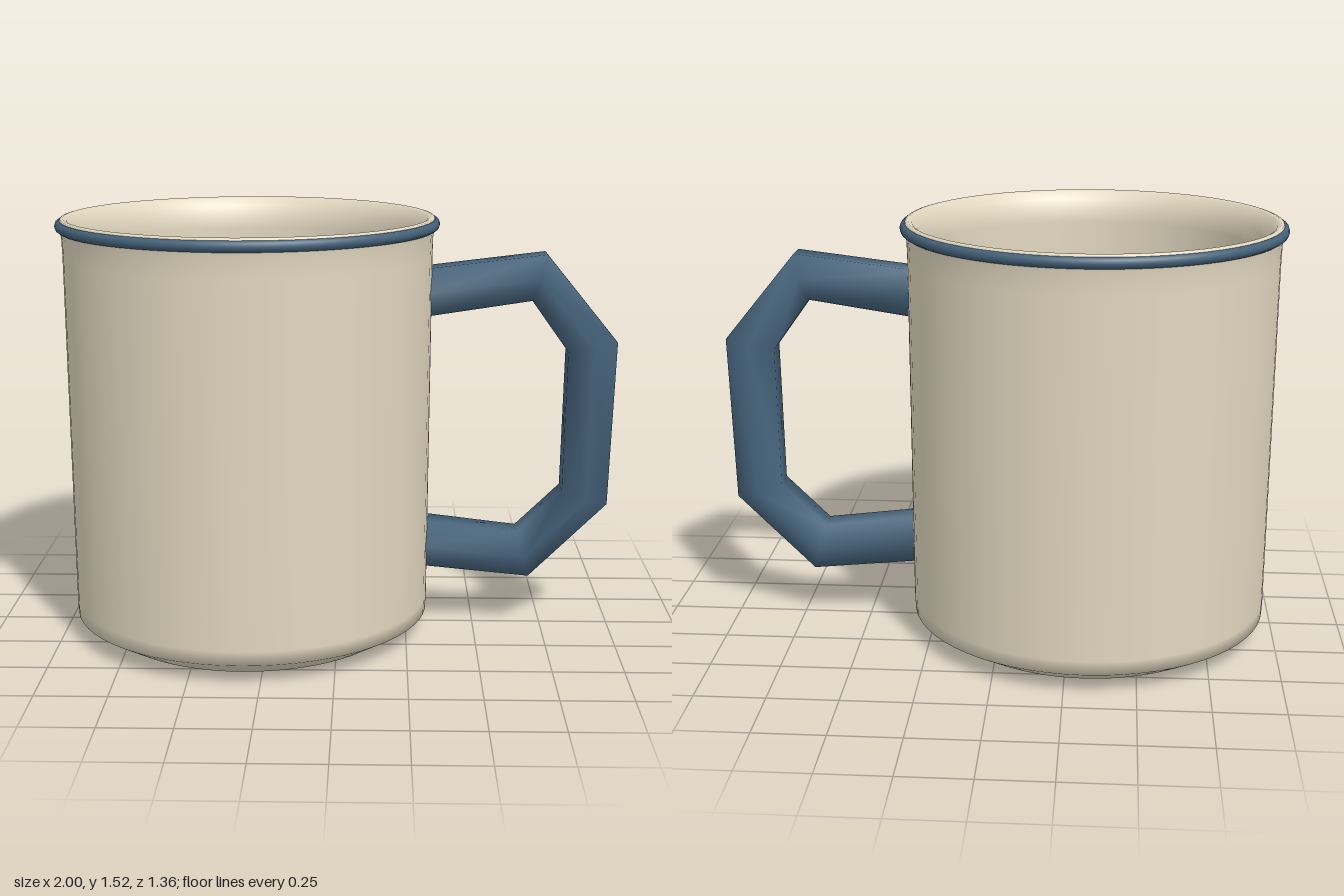
import * as THREE from 'three';

const AXIS_X = -0.32; // centre line of the cup

export function createModel() {
  const cream = new THREE.MeshStandardMaterial({ color: 0xe2d8c0 });
  cream.name = 'cream enamel';
  const blue = new THREE.MeshStandardMaterial({ color: 0x45627a });
  blue.name = 'blue enamel';

  const mug = new THREE.Group();
  mug.name = 'mug';
  const add = (name, geometry, material) => {
    const mesh = new THREE.Mesh(geometry, material);
    mesh.name = name;
    mug.add(mesh);
    return mesh;
  };

  // Cup: outer wall with chamfered foot, rolled lip, inner wall and floor
  const profile = [
    [0, 0], [0.5, 0], [0.53, 0.003], [0.645, 0.07], [0.647, 0.12],
    [0.655, 1.38], [0.657, 1.45], [0.664, 1.475], [0.666, 1.5],
    [0.66, 1.514], [0.65, 1.517], [0.637, 1.51], [0.618, 1.485],
    [0.602, 1.45], [0.595, 1.4], [0.595, 0.12], [0.59, 0.07], [0, 0.06],
  ].map(([r, y]) => new THREE.Vector2(r, y));
  add('cup', new THREE.LatheGeometry(profile, 64), cream).position.x = AXIS_X;

  // Coloured band around the lip
  const rim = add('rim', new THREE.TorusGeometry(0.66, 0.02, 10, 64), blue);
  rim.rotation.x = Math.PI / 2;
  rim.position.set(AXIS_X, 1.49, 0);

  add('handle', handleGeometry(), blue);
  return mug;
}

// Six-sided bar swept along a mitred path; each row is outer x, y, inner x, y
function handleGeometry() {
  const stations = [
    [0.29, 1.33, 0.3, 1.16],
    [0.74, 1.385, 0.69, 1.22],
    [0.998, 1.07, 0.823, 1.035],
    [0.98, 0.472, 0.815, 0.522],
    [0.7, 0.195, 0.655, 0.365],
    [0.29, 0.235, 0.3, 0.408],
  ];
  const sides = 6;
  const positions = [];
  const index = [];
  stations.forEach(([ox, oy, ix, iy], s) => {
    for (let k = 0; k < sides; k++) {
      const a = (k / sides) * Math.PI * 2;
      const t = 0.5 + 0.5 * Math.sin(a) / Math.sin(Math.PI / 3);
      positions.push(ix + (ox - ix) * t, iy + (oy - iy) * t, 0.095 * Math.cos(a));
      if (s === 0) continue;
      const n = (k + 1) % sides;
      const a0 = (s - 1) * sides + k, b0 = (s - 1) * sides + n;
      const a1 = s * sides + k, b1 = s * sides + n;
      index.push(a0, a1, b1, a0, b1, b0);
    }
  });
  const geometry = new THREE.BufferGeometry();
  geometry.setAttribute('position', new THREE.Float32BufferAttribute(positions, 3));
  geometry.setIndex(index);
  geometry.computeVertexNormals();
  return geometry;
}
